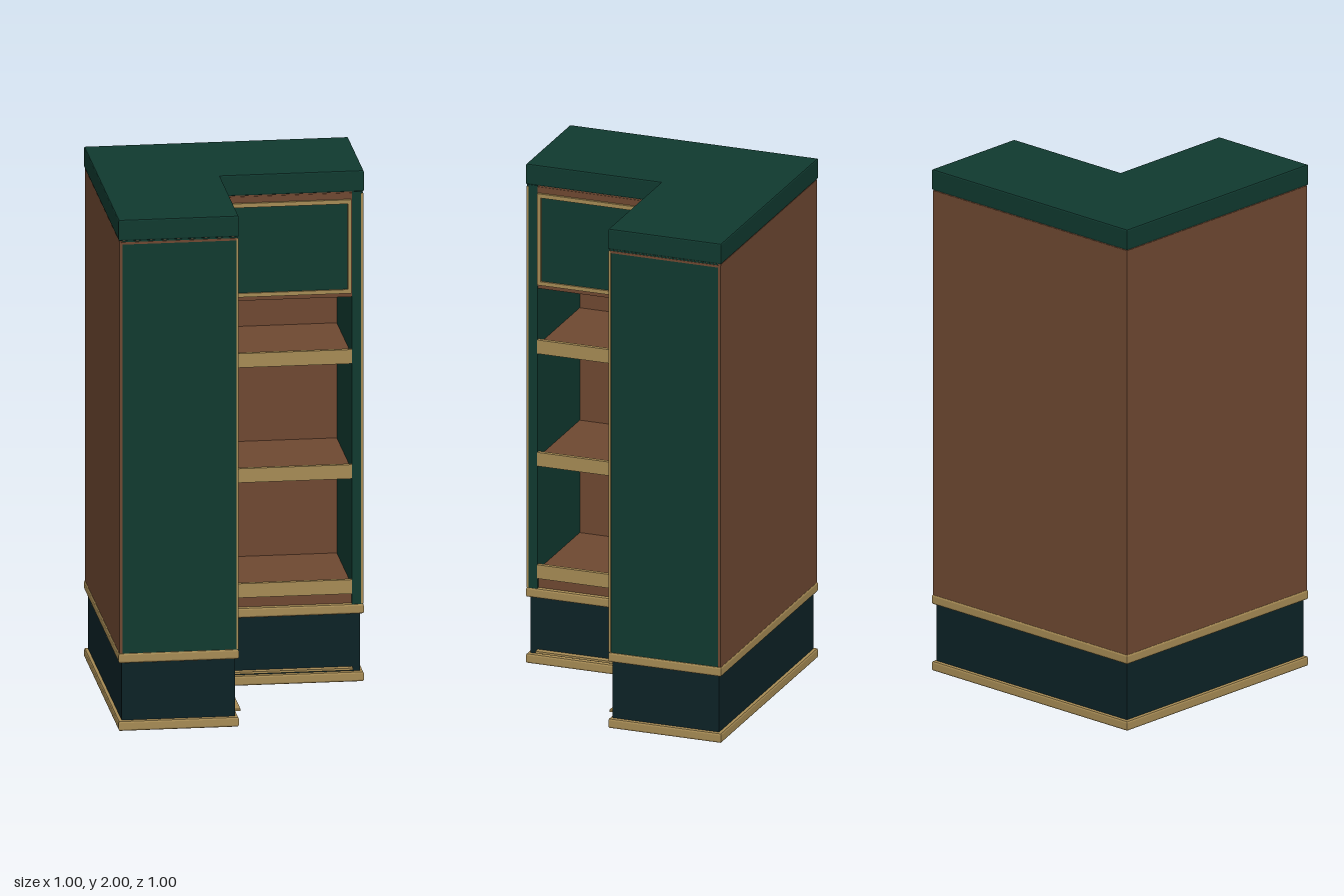
import * as THREE from 'three';

const mat = (name, hex) => {
  const m = new THREE.MeshStandardMaterial({ color: hex });
  m.name = name;
  return m;
};

export function createModel() {
  const green = mat('dark green paint', 0x10392f);
  const navy = mat('plinth blue black', 0x0c2226);
  const brown = mat('brown wood', 0x6e4831);
  const tan = mat('tan trim', 0xa58a54);
  const root = new THREE.Group();
  root.name = 'cornerBookcase';

  // Horizontal L-shaped slab: back edge, arm end, inner edge, bottom and top heights
  const slab = (parent, name, material, back, end, inner, y0, y1, bevel = 0) => {
    const outline = [[back, back], [end, back], [end, inner], [inner, inner], [inner, end], [back, end]];
    const shape = new THREE.Shape(outline.map(([x, z]) => new THREE.Vector2(x, z)));
    const geo = new THREE.ExtrudeGeometry(shape, {
      depth: y1 - y0 - 2 * bevel, bevelEnabled: bevel > 0,
      bevelThickness: bevel, bevelSize: bevel, bevelOffset: -bevel, bevelSegments: 2,
    });
    geo.rotateX(Math.PI / 2);
    geo.translate(0, y1 - bevel, 0);
    const mesh = new THREE.Mesh(geo, material);
    mesh.name = name;
    parent.add(mesh);
  };

  // Box given by its limits; the second arm swaps x and z
  const box = (parent, swap, name, material, x0, x1, y0, y1, z0, z1) => {
    const [dx, dy, dz] = [x1 - x0, y1 - y0, z1 - z0];
    const [cx, cy, cz] = [(x0 + x1) / 2, (y0 + y1) / 2, (z0 + z1) / 2];
    const geo = swap ? new THREE.BoxGeometry(dz, dy, dx) : new THREE.BoxGeometry(dx, dy, dz);
    const mesh = new THREE.Mesh(geo, material);
    mesh.position.set(swap ? cz : cx, cy, swap ? cx : cz);
    mesh.name = name;
    parent.add(mesh);
  };

  // Base, plinth and cornice
  slab(root, 'baseMoulding', tan, -0.5, 0.5, -0.045, 0, 0.04, 0.008);
  slab(root, 'plinth', navy, -0.487, 0.487, -0.058, 0.04, 0.265);
  slab(root, 'plinthMoulding', tan, -0.5, 0.5, -0.045, 0.265, 0.305, 0.008);
  slab(root, 'bodyTop', brown, -0.495, 0.495, -0.052, 1.9, 1.92);
  slab(root, 'cornice', green, -0.5, 0.5, -0.045, 1.917, 2, 0.006);

  // Shelf boards and the floor of the closed upper part
  const shelfHeights = [0.345, 0.795, 1.245];
  for (const y of shelfHeights) slab(root, 'shelf', brown, -0.49, 0.458, -0.055, y, y + 0.033);
  slab(root, 'cabinetFloor', brown, -0.49, 0.458, -0.052, 1.505, 1.525);
  slab(root, 'bottomRail', brown, -0.49, 0.458, -0.06, 0.3, 0.344);

  for (const swap of [false, true]) {
    const arm = new THREE.Group();
    arm.name = swap ? 'frontArm' : 'sideArm';
    root.add(arm);
    const add = (...args) => box(arm, swap, ...args);

    // Back wall and end panel with edge strips
    add('backWall', brown, -0.497, 0.496, 0.3, 1.915, -0.497, -0.485);
    add('endPanel', green, 0.455, 0.496, 0.303, 1.917, -0.485, -0.048);
    add('endPanelFrontStrip', tan, 0.49, 0.498, 0.305, 1.91, -0.054, -0.046);
    add('endPanelBackStrip', brown, 0.49, 0.498, 0.305, 1.91, -0.497, -0.487);
    add('endPanelTopStrip', brown, 0.49, 0.498, 1.903, 1.912, -0.49, -0.05);

    // Shelf edges; those of the front arm stop short of the corner
    for (const y of shelfHeights) {
      add('shelfEdge', tan, swap ? 0.06 : -0.05, 0.455, y, y + 0.055, -0.062, -0.046);
    }

    // Upper door: frame board, panel and trim
    add('doorFrame', brown, -0.066, 0.455, 1.515, 1.912, -0.066, -0.05);
    add('doorPanel', green, -0.015, 0.445, 1.535, 1.88, -0.053, -0.047);
    const trimZ = [-0.052, -0.04];
    add('doorTrimTop', tan, -0.024, 0.453, 1.872, 1.888, ...trimZ);
    add('doorTrimBottom', tan, -0.045, 0.453, 1.522, 1.537, ...trimZ);
    add('doorTrimInner', tan, -0.024, -0.01, 1.53, 1.88, ...trimZ);
    add('doorTrimOuter', tan, 0.439, 0.453, 1.53, 1.88, ...trimZ);

    // Thin bead at the foot of the plinth
    add('plinthBead', tan, -0.045, 0.457, 0.05, 0.058, -0.06, -0.033);
  }
  return root;
}
